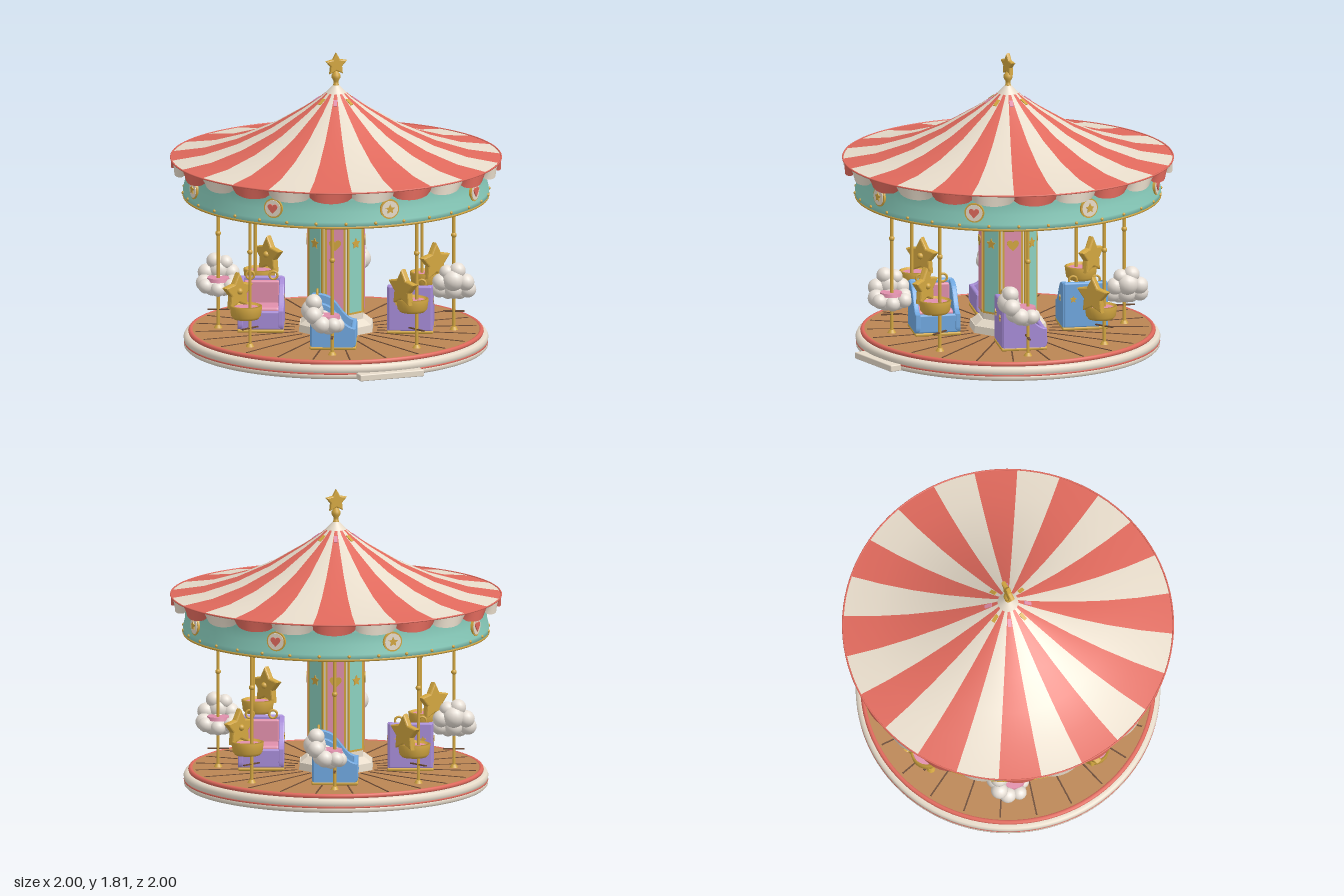
import * as THREE from 'three';
import { RoundedBoxGeometry } from 'three/addons/geometries/RoundedBoxGeometry.js';

const paint = (name, color, open) => {
  const m = new THREE.MeshStandardMaterial({ color });
  m.name = name;
  if (open) m.side = THREE.DoubleSide;
  return m;
};

export function createModel() {
  const cream = paint('cream', 0xf0e4d2, true), red = paint('red', 0xe0695c, true);
  const teal = paint('teal', 0x8bd0bf, true), gold = paint('gold', 0xd2a640);
  const pink = paint('pink', 0xe08fab), blue = paint('blue', 0x70a8e0);
  const purple = paint('purple', 0xa78cd8), wood = paint('wood', 0xba8553);
  const darkWood = paint('darkWood', 0x6b4a35), cloudWhite = paint('cloudWhite', 0xe9e1d8);

  const add = (parent, name, geo, mat, x = 0, y = 0, z = 0) => {
    const m = new THREE.Mesh(geo, mat);
    m.name = name;
    m.position.set(x, y, z);
    parent.add(m);
    return m;
  };
  const group = (parent, name, angle = 0, x = 0, y = 0, z = 0) => {
    const g = new THREE.Group();
    g.name = name;
    g.rotation.y = angle;
    g.position.set(x, y, z);
    parent.add(g);
    return g;
  };
  const cyl = (rt, rb, h, n = 32) => new THREE.CylinderGeometry(rt, rb, h, n);
  const ball = (r) => new THREE.SphereGeometry(r, 16, 12);
  const box = (w, h, d) => new THREE.BoxGeometry(w, h, d);
  const lathe = (pts, n = 96, start = 0, len = Math.PI * 2) =>
    new THREE.LatheGeometry(pts.map((p) => new THREE.Vector2(...p)), n, start, len);
  const ring = (parent, name, r, tube, y, mat) => {
    add(parent, name, new THREE.TorusGeometry(r, tube, 8, 96), mat, 0, y).rotation.x = Math.PI / 2;
  };

  const starShape = (r, inner = 0.5) => {
    const s = new THREE.Shape();
    for (let i = 0; i < 10; i++) {
      const a = Math.PI / 2 + (i * Math.PI) / 5, q = i % 2 ? r * inner : r;
      s[i ? 'lineTo' : 'moveTo'](q * Math.cos(a), q * Math.sin(a));
    }
    s.closePath();
    return s;
  };
  const heartShape = (r) => {
    const s = new THREE.Shape();
    s.moveTo(0, -r);
    s.bezierCurveTo(r * 0.5, -r * 0.5, r, -r * 0.1, r, r * 0.35);
    s.bezierCurveTo(r, r * 0.95, r * 0.2, r, 0, r * 0.45);
    s.bezierCurveTo(-r * 0.2, r, -r, r * 0.95, -r, r * 0.35);
    s.bezierCurveTo(-r, -r * 0.1, -r * 0.5, -r * 0.5, 0, -r);
    return s;
  };
  const solid = (shape, depth, bevel = 0) => new THREE.ExtrudeGeometry(shape, {
    depth, bevelEnabled: bevel > 0, bevelSize: bevel, bevelThickness: bevel, bevelSegments: 2, curveSegments: 10,
  }).translate(0, 0, -depth / 2);

  const model = new THREE.Group();
  model.name = 'carousel';

  // Round platform with red bands, plank floor and front step
  const platform = group(model, 'platform');
  add(platform, 'platformBase', lathe([[0, 0], [0.905, 0], [0.915, 0.01], [0.915, 0.03], [0.905, 0.034],
    [0.915, 0.04], [0.918, 0.06], [0.91, 0.078], [0.89, 0.085], [0, 0.085]]), cream);
  ring(platform, 'redBand', 0.908, 0.009, 0.034, red);
  ring(platform, 'redRim', 0.875, 0.015, 0.095, red);
  add(platform, 'floor', cyl(0.87, 0.87, 0.025, 96), wood, 0, 0.0935);
  for (let i = 0; i < 24; i++) {
    const g = group(platform, 'plankSeam', (i * Math.PI) / 12);
    add(g, 'seam', box(0.009, 0.004, 0.6), darkWood, 0, 0.107, 0.55);
  }
  add(platform, 'step', new RoundedBoxGeometry(0.41, 0.04, 0.1, 2, 0.006), cream, 0, 0.02, 0.912);

  // Eight sided centre column with framed panels
  const column = group(model, 'column');
  const octagon = (name, rt, rb, y0, y1, mat) => {
    const geo = new THREE.CylinderGeometry(rt, rb, y1 - y0, 8).toNonIndexed();
    geo.computeVertexNormals();
    add(column, name, geo, mat, 0, (y0 + y1) / 2);
  };
  octagon('columnPlinth', 0.235, 0.24, 0.1, 0.15, cream);
  octagon('columnFoot', 0.185, 0.23, 0.15, 0.185, cream);
  octagon('columnCore', 0.176, 0.176, 0.18, 0.86, cream);
  octagon('columnFlare', 0.22, 0.18, 0.84, 0.93, cream);
  octagon('columnHead', 0.22, 0.22, 0.93, 1.15, cream);
  for (let i = 0; i < 8; i++) {
    const g = group(column, 'columnSide', ((i + 0.5) * Math.PI) / 4);
    add(g, 'panelFrame', box(0.125, 0.62, 0.012), gold, 0, 0.535, 0.165);
    add(g, 'panel', box(0.1, 0.595, 0.008), i % 2 ? pink : teal, 0, 0.535, 0.169);
    add(g, 'panelEmblem', solid(i % 2 ? heartShape(0.036) : starShape(0.034), 0.008), gold, 0, 0.66, 0.174);
    add(group(column, 'columnStud', (i * Math.PI) / 4), 'stud', ball(0.009), gold, 0, 0.93, 0.22);
  }

  // Striped canopy and scalloped valance, one segment at a time
  const canopy = group(model, 'canopy');
  const roofLine = [[0.02, 1.6], [0.1, 1.535], [0.2, 1.468], [0.4, 1.348], [0.6, 1.257], [0.8, 1.195], [0.995, 1.165]];
  const seg = Math.PI / 12;
  for (let i = 0; i < 24; i++) {
    const mat = i % 2 ? cream : red;
    add(canopy, 'canopyStripe', lathe(roofLine.slice().reverse(), 6, i * seg, seg), mat);
    const flap = new THREE.PlaneGeometry(1, 1, 10, 2), p = flap.attributes.position;
    for (let k = 0; k < p.count; k++) {
      const u = p.getX(k) + 0.5, t = 0.5 - p.getY(k), a = (i + u) * seg, wave = Math.sin(Math.PI * u);
      const r = 0.993 - t * 0.022 * (1 - wave);
      p.setXYZ(k, r * Math.sin(a), 1.167 - t * (0.035 + 0.032 * Math.sqrt(Math.abs(wave))), r * Math.cos(a));
    }
    flap.computeVertexNormals();
    add(canopy, 'valanceFlap', flap, mat);
  }
  ring(canopy, 'canopyHem', 0.995, 0.005, 1.166, red);
  add(canopy, 'canopyCap', cyl(0.018, 0.065, 0.05), cream, 0, 1.588);
  for (let i = 0; i < 8; i++) {
    const g = group(canopy, 'capTab', ((i + 0.5) * Math.PI) / 4, 0, 1.523, 0);
    add(g, 'tab', box(0.022, 0.008, 0.05), i % 2 ? pink : gold, 0, 0, 0.118).rotation.x = 0.6;
  }

  // Teal fascia with studs and medallions
  const fascia = group(model, 'fascia');
  add(fascia, 'fasciaBand', lathe([[0.895, 0.935], [0.922, 0.935], [0.922, 0.97], [0.908, 1.03],
    [0.908, 1.1], [0.918, 1.165], [0.89, 1.165], [0.89, 0.935]]), teal);
  ring(fascia, 'fasciaRim', 0.916, 0.009, 0.937, gold);
  for (let i = 0; i < 32; i++)
    add(group(fascia, 'fasciaStud', ((i + 0.5) * Math.PI) / 16), 'stud', ball(0.01), gold, 0, 0.96, 0.922);
  for (let i = 0; i < 8; i++) {
    const g = group(fascia, 'medallion', (i * Math.PI) / 4);
    add(g, 'medallionRim', cyl(0.06, 0.06, 0.02), gold, 0, 1.04, 0.91).rotation.x = Math.PI / 2;
    add(g, 'medallionFace', cyl(0.051, 0.051, 0.02), cream, 0, 1.04, 0.914).rotation.x = Math.PI / 2;
    add(g, 'medallionEmblem', solid(i % 2 ? heartShape(0.031) : starShape(0.03), 0.008),
      i % 2 ? red : gold, 0, 1.04, 0.926);
  }

  // Star finial
  const finial = group(model, 'finial');
  add(finial, 'finialStem', lathe([[0, 1.585], [0.03, 1.595], [0.014, 1.62], [0.014, 1.635], [0.026, 1.655],
    [0.026, 1.675], [0.012, 1.695], [0, 1.7]].map((p) => p), 24), gold);
  add(finial, 'finialStar', solid(starShape(0.06), 0.012, 0.008), gold, 0, 1.738);

  // Seats face +x in their own frame; z points outward
  const addPole = (g) => {
    add(g, 'pole', cyl(0.01, 0.01, 1.04, 12), gold, 0, 0.63);
    add(g, 'poleFoot', cyl(0.015, 0.026, 0.02, 16), gold, 0, 0.115);
    add(g, 'poleKnob', ball(0.017), gold, 0, 0.69);
    add(g, 'footRest', box(0.014, 0.007, 0.13), darkWood, 0, 0.22);
  };
  const addStarSeat = (parent, y) => {
    const g = group(parent, 'starSeat', 0, 0, y, 0);
    add(g, 'seatBucket', lathe([[0, 0], [0.075, 0.002], [0.09, 0.02], [0.098, 0.08], [0.085, 0.085],
      [0.08, 0.06], [0, 0.06]], 32), gold, -0.035);
    add(g, 'seatCushion', cyl(0.08, 0.08, 0.02), pink, -0.035, 0.06);
    add(g, 'seatStarBack', solid(starShape(0.105, 0.52), 0.022, 0.01), gold, -0.11, 0.155).rotation.y = Math.PI / 2;
    add(g, 'starKnob', ball(0.02), gold, -0.09, 0.16);
  };
  const puffs = [[-0.12, 0.13, 0, 0.068], [-0.11, 0.185, 0.025, 0.05], [-0.11, 0.175, -0.04, 0.045],
    [-0.08, 0.06, 0, 0.055], [0.03, 0.04, 0, 0.045]];
  for (const s of [-1, 1]) puffs.push([-0.11, 0.115, s * 0.075, 0.052], [-0.06, 0.06, s * 0.085, 0.052],
    [0.01, 0.055, s * 0.075, 0.045], [-0.02, 0.04, s * 0.035, 0.05]);
  const addCloudSeat = (parent, y) => {
    const g = group(parent, 'cloudSeat', 0, 0, y, 0);
    for (const [px, py, pz, r] of puffs) add(g, 'cloudPuff', ball(r), cloudWhite, px, py, pz);
    add(g, 'cloudCushion', cyl(0.065, 0.07, 0.022), pink, -0.02, 0.093);
  };

  // Carriage with swooping sides
  const side = new THREE.Shape();
  side.moveTo(-0.125, 0.125);
  side.lineTo(0.11, 0.125);
  side.quadraticCurveTo(0.135, 0.13, 0.135, 0.16);
  side.lineTo(0.132, 0.235);
  side.bezierCurveTo(0.06, 0.24, 0.03, 0.33, -0.02, 0.37);
  side.quadraticCurveTo(-0.07, 0.4, -0.125, 0.39);
  side.closePath();
  const addCarriage = (parent, mat) => {
    const g = group(parent, 'carriage');
    for (const s of [-1, 1]) {
      add(g, 'carriageSide', solid(side, 0.02, 0.006), mat, 0, 0, s * 0.122);
      add(g, 'sideStar', solid(starShape(0.022), 0.008), gold, -0.04, 0.29, s * 0.138);
      const scroll = add(g, 'carriageScroll', new THREE.TorusGeometry(0.024, 0.007, 8, 20), gold, -0.1, 0.41, s * 0.07);
      scroll.rotation.y = Math.PI / 2;
      add(g, 'backStar', solid(starShape(0.022), 0.008), gold, -0.139, 0.3, s * 0.075).rotation.y = -Math.PI / 2;
    }
    add(g, 'carriageBack', new RoundedBoxGeometry(0.035, 0.28, 0.265, 3, 0.012), mat, -0.12, 0.262);
    add(g, 'carriageFront', new RoundedBoxGeometry(0.03, 0.115, 0.25, 3, 0.012), mat, 0.122, 0.182);
    add(g, 'carriageFloor', box(0.25, 0.02, 0.24), mat, 0, 0.135);
    add(g, 'carriageBase', new RoundedBoxGeometry(0.28, 0.02, 0.28, 2, 0.008), gold, 0, 0.117);
    add(g, 'carriageSeat', new RoundedBoxGeometry(0.16, 0.1, 0.225, 3, 0.02), pink, -0.03, 0.195);
    add(g, 'carriageBackCushion', new RoundedBoxGeometry(0.03, 0.15, 0.215, 3, 0.012), pink, -0.095, 0.305);
  };

  // Four matching quarters of rides
  const turn = Math.PI / 8;
  for (let k = 0; k < 4; k++) {
    const quarter = group(model, 'rideQuarter', (k * Math.PI) / 2);
    const place = (name, a, r) => group(quarter, name, a, r * Math.sin(a), 0, r * Math.cos(a));
    const starRide = place('starRide', turn, 0.71);
    addPole(starRide);
    addStarSeat(starRide, k === 0 ? 0.335 : 0.272);
    const cloudRide = place('cloudRide', -turn, 0.71);
    addPole(cloudRide);
    addCloudSeat(cloudRide, k % 2 ? 0.31 : 0.25);
    addCarriage(place('carriageRide', -turn, 0.45), k % 2 ? purple : blue);
  }
  return model;
}
